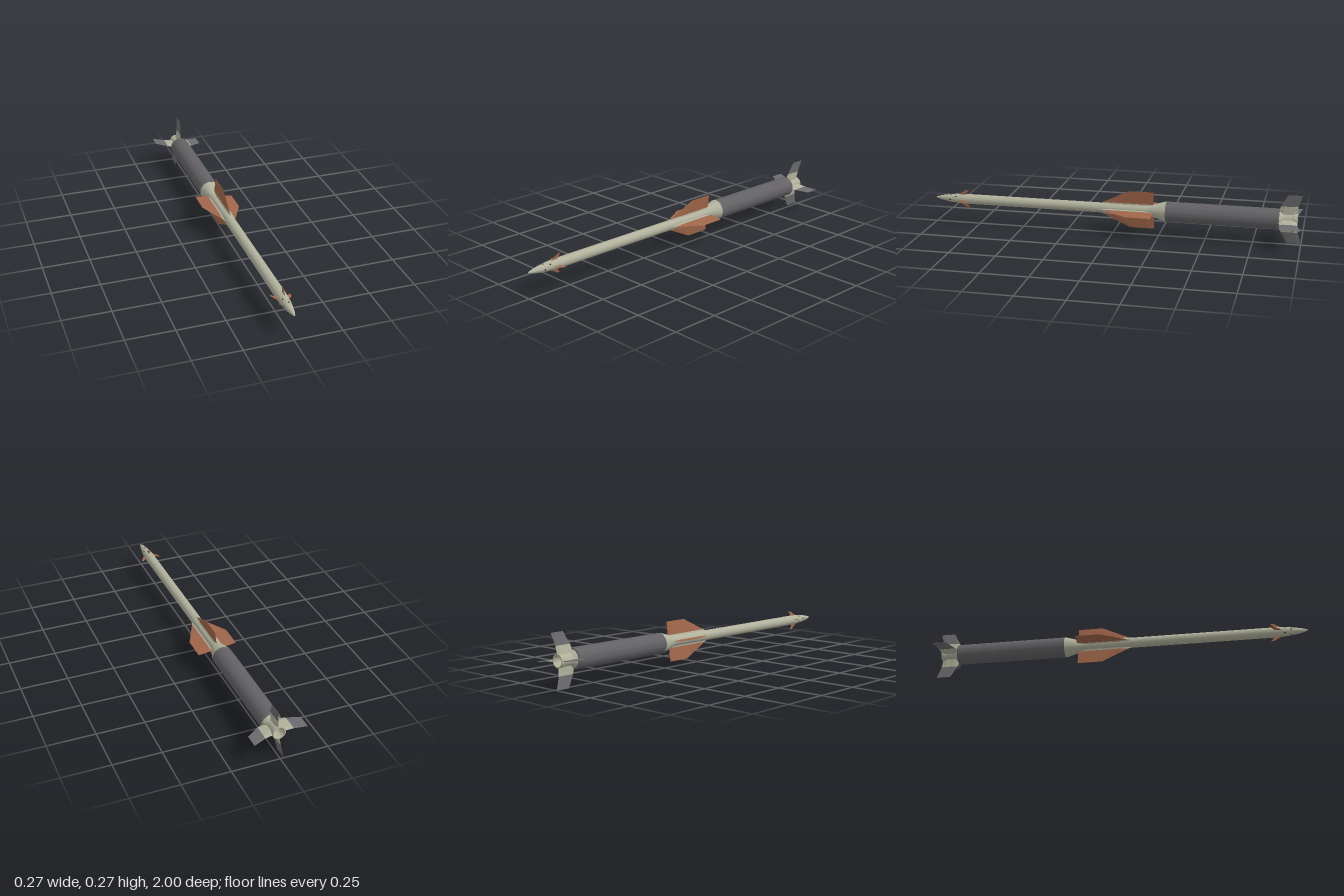
import * as THREE from 'three';
import { toCreasedNormals } from 'three/addons/utils/BufferGeometryUtils.js';

const AXIS_Y = 0.1375; // height of the long axis
const ROLL = -0.133; // slight roll of all fin sets

const mat = (color, extra = {}) => new THREE.MeshStandardMaterial({ color, ...extra });

// Surface of revolution around z; points are [radius, z] from back to front
function turned(name, points, material) {
  const geo = new THREE.LatheGeometry(points.map(([r, z]) => new THREE.Vector2(r, z)), 48);
  geo.rotateX(Math.PI / 2);
  const mesh = new THREE.Mesh(toCreasedNormals(geo, 0.2), material);
  mesh.name = name;
  return mesh;
}

// Fin pointing up, lofted through sections [height, leading z, trailing z, half thickness]
function finGeometry(sections) {
  const pos = [], index = [], n = 6;
  for (const [y, lead, trail, t] of sections) {
    const a = lead + (trail - lead) * 0.22, b = lead + (trail - lead) * 0.8;
    pos.push(0, y, lead, t, y, a, t, y, b, 0, y, trail, -t, y, b, -t, y, a);
  }
  for (let s = 0; s < sections.length - 1; s++) {
    for (let i = 0; i < n; i++) {
      const a = s * n + i, b = s * n + (i + 1) % n;
      index.push(a, b, b + n, a, b + n, a + n);
    }
  }
  const top = (sections.length - 1) * n;
  for (let i = 1; i < n - 1; i++) index.push(top, top + i, top + i + 1, 0, i + 1, i);
  const geo = new THREE.BufferGeometry();
  geo.setAttribute('position', new THREE.Float32BufferAttribute(pos, 3));
  geo.setIndex(index);
  const flat = geo.toNonIndexed();
  flat.computeVertexNormals();
  return flat;
}

// Four copies of a geometry around the axis
function ring4(name, geo, material, offset = 0) {
  const group = new THREE.Group();
  group.name = name + 's';
  for (let k = 0; k < 4; k++) {
    const mesh = new THREE.Mesh(geo, material);
    mesh.name = name;
    mesh.rotation.z = ROLL + offset + k * Math.PI / 2;
    group.add(mesh);
  }
  return group;
}

export function createModel() {
  const model = new THREE.Group();
  model.name = 'missile';
  const pale = mat(0xb0b09c), dark = mat(0x636164), brown = mat(0xa0664a);
  const finGrey = mat(0x6c6c6e), black = mat(0x3c3a38);

  const body = new THREE.Group();
  body.name = 'assembly';
  body.position.y = AXIS_Y;
  model.add(body);

  // Slim front stage with widening adapter and ogive nose
  body.add(turned('frontStage', [
    [0.054, -0.29], [0.052, -0.28], [0.029, -0.2], [0.027, -0.19], [0.027, 0.82],
    [0.0262, 0.85], [0.0245, 0.88], [0.0215, 0.91], [0.0172, 0.94],
    [0.0115, 0.97], [0.006, 0.99], [0.0025, 0.998], [0, 1],
  ], pale));

  // Thick booster with closed ends
  body.add(turned('booster', [
    [0, -0.885], [0.052, -0.885], [0.054, -0.88], [0.054, -0.29], [0, -0.29],
  ], dark));

  // Hollow nozzle
  body.add(turned('nozzle', [
    [0, -0.9], [0.02, -0.9], [0.029, -0.978], [0.034, -0.978], [0.034, -0.96],
    [0.031, -0.95], [0.031, -0.905], [0.046, -0.884],
  ], pale));

  // Tail fins on pale root blocks
  body.add(ring4('tailFinMount', finGeometry([
    [0.027, -0.882, -0.975, 0.009], [0.05, -0.882, -0.977, 0.006], [0.073, -0.89, -0.98, 0.003],
  ]), pale));
  body.add(ring4('tailFin', finGeometry([
    [0.07, -0.888, -0.979, 0.0028], [0.137, -0.925, -1, 0.0006],
  ]), finGrey));

  // Mid-body wings with root fairings
  body.add(ring4('wingFairing', finGeometry([
    [0.022, 0.08, -0.225, 0.007], [0.034, 0.055, -0.222, 0.0035],
  ]), pale));
  body.add(ring4('wing', finGeometry([
    [0.025, 0.072, -0.222, 0.003], [0.105, -0.09, -0.222, 0.0008],
  ]), brown));

  // Nose control fins, swept back
  body.add(ring4('noseFin', finGeometry([
    [0.021, 0.872, 0.825, 0.0025], [0.035, 0.852, 0.82, 0.002], [0.053, 0.822, 0.806, 0.0006],
  ]), brown));

  // Small ports on the nose
  const port = (radius, z) => new THREE.SphereGeometry(1, 12, 8)
    .scale(0.0038, 0.0018, 0.006).translate(0, radius, z);
  body.add(ring4('rearNosePort', port(0.0245, 0.88), black, Math.PI / 4));
  body.add(ring4('frontNosePort', port(0.0212, 0.913), black));

  return model;
}
